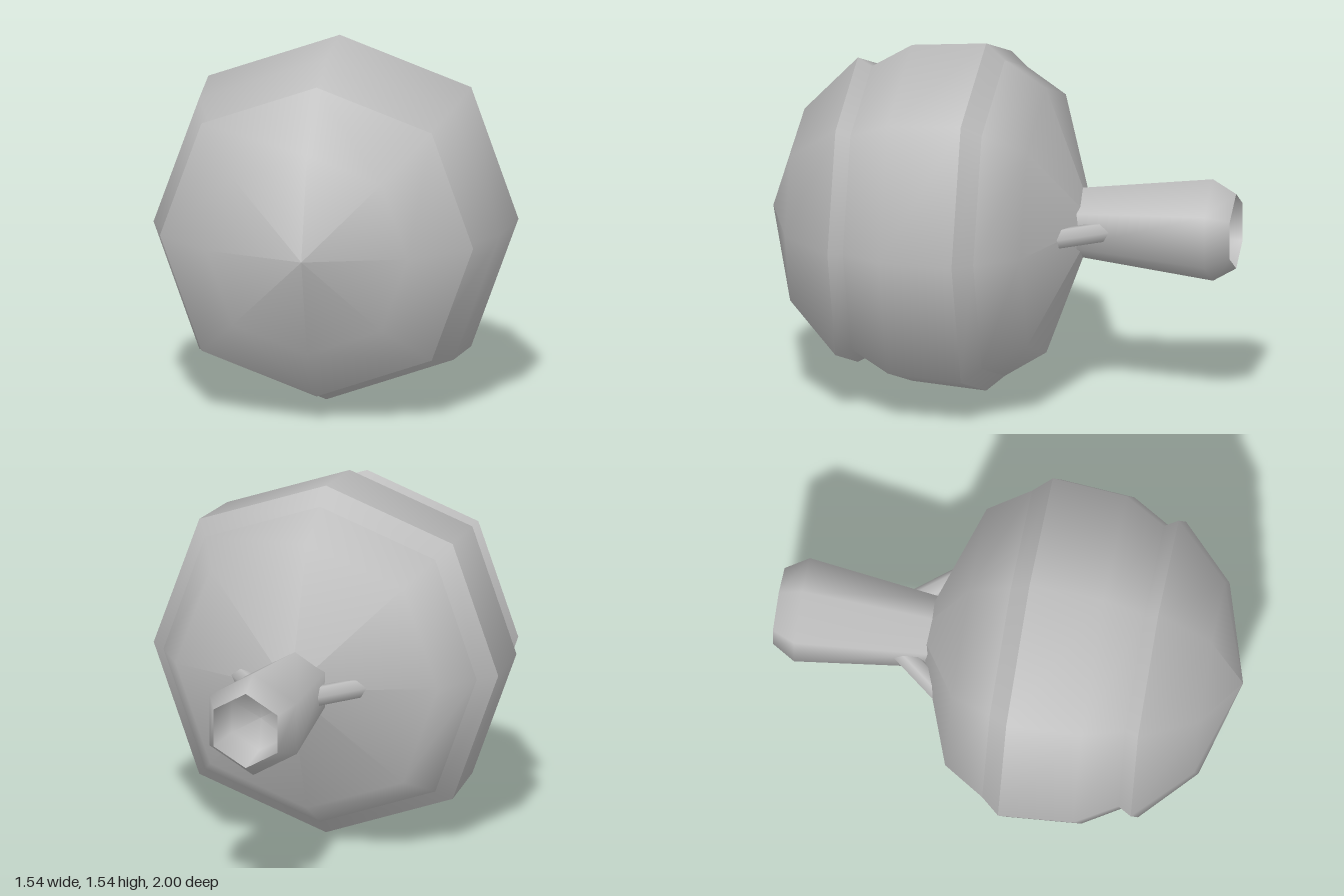
import * as THREE from 'three';

const CY = 0.77; // height of the long axis, which runs along z

export function createModel() {
  const group = new THREE.Group();
  const grey = new THREE.MeshStandardMaterial({ color: 0xbcbcbc });
  grey.name = 'plain grey';

  const add = (name, geometry) => {
    const mesh = new THREE.Mesh(geometry, grey);
    mesh.name = name;
    group.add(mesh);
    return mesh;
  };

  // Turns a [radius, z] profile (back to front) about the z axis
  const turned = (name, profile, sides, diagonal = 1) => {
    const geo = new THREE.LatheGeometry(profile.map(([r, z]) => new THREE.Vector2(r, z)), sides);
    geo.rotateX(Math.PI / 2);
    const p = geo.attributes.position;
    // push the diagonal corners out a little
    for (let i = 0; i < p.count; i++) {
      const x = p.getX(i), y = p.getY(i);
      if (Math.abs(x) > 0.02 && Math.abs(y) > 0.02) p.setXY(i, x * diagonal, y * diagonal);
    }
    const mesh = add(name, geo);
    mesh.position.y = CY;
    return mesh;
  };

  // Round body: back ball, middle shell and front cap with stepped rims
  turned('backBall', [[0, -0.395], [0.585, -0.18], [0.70, 0]], 8, 1.04);
  turned('shellRim', [[0.70, 0], [0.77, 0.08]], 8, 1.04);
  turned('middleShell', [[0.77, 0.08], [0.745, 0.40], [0.64, 0.575]], 8, 1.04);
  turned('capRim', [[0.64, 0.575], [0.675, 0.635]], 8, 1.04);
  turned('frontCap', [[0.675, 0.635], [0.435, 0.865], [0, 1]], 8, 1.04);

  // Six-sided flared stem, hollow at its end
  turned('stem', [[0.165, -1], [0.225, -0.9], [0.15, -0.3]], 6);
  turned('stemHollow', [[0, -0.8], [0.14, -0.82], [0.165, -1]], 6);

  // Short struts bracing the stem against the body
  for (const side of [1, -1]) {
    const a = new THREE.Vector3(side * 0.27, CY, -0.253);
    const b = new THREE.Vector3(side * 0.105, CY, -0.462);
    const dir = b.clone().sub(a);
    const strut = add(side > 0 ? 'leftStrut' : 'rightStrut',
      new THREE.CylinderGeometry(0.045, 0.045, dir.length(), 6));
    strut.position.copy(a).add(b).multiplyScalar(0.5);
    strut.quaternion.setFromUnitVectors(new THREE.Vector3(0, 1, 0), dir.normalize());
  }

  return group;
}
